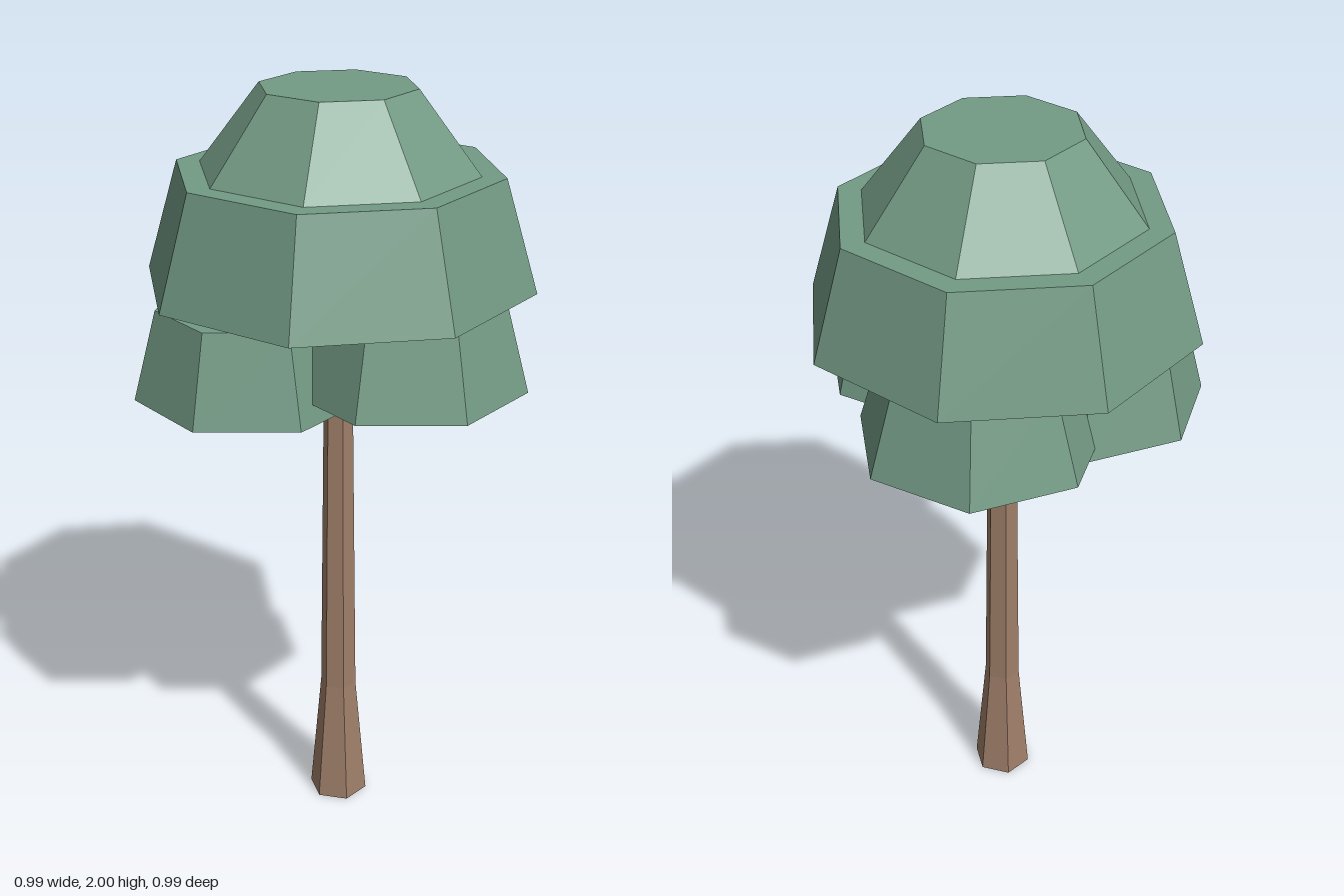
import * as THREE from 'three';

export function createModel() {
  const tree = new THREE.Group();
  tree.name = 'tree';
  const leaf = new THREE.MeshStandardMaterial({ color: 0x739a84, flatShading: true });
  leaf.name = 'leaf green';
  const bark = new THREE.MeshStandardMaterial({ color: 0x9f7f69, flatShading: true });
  bark.name = 'bark brown';

  // Tapered prism with one corner pointing along +x
  function prism(name, material, sides, rBottom, rTop, y0, y1, x = 0, z = 0, open = false) {
    const geometry = new THREE.CylinderGeometry(rTop, rBottom, y1 - y0, sides, 1, open);
    geometry.rotateY(Math.PI / 2);
    const mesh = new THREE.Mesh(geometry, material);
    mesh.name = name;
    mesh.position.set(x, (y0 + y1) / 2, z);
    tree.add(mesh);
  }

  // Trunk: flared foot and slender stem as one profile
  const profile = [[0, 0], [0.08, 0], [0.049, 0.35], [0.038, 1.25], [0, 1.25]]
    .map(([r, y]) => new THREE.Vector2(r, y));
  const trunk = new THREE.Mesh(new THREE.LatheGeometry(profile, 6).rotateY(Math.PI / 2), bark);
  trunk.name = 'trunk';
  tree.add(trunk);

  // Short branches under the leaf clumps
  for (const [x, z] of [[-0.155, 0.085], [0.152, 0.085], [0, -0.162]]) {
    const branch = new THREE.Mesh(new THREE.BoxGeometry(0.19, 0.042, 0.045), bark);
    branch.name = 'branch';
    branch.position.set(x, 1.24, z);
    tree.add(branch);
  }

  // Three lower leaf clumps
  prism('rightLeafClump', leaf, 7, 0.297, 0.236, 1.25, 1.48, -0.197, 0.11);
  prism('leftLeafClump', leaf, 7, 0.3, 0.238, 1.3, 1.53, 0.195, 0.095);
  prism('backLeafClump', leaf, 7, 0.311, 0.237, 1.28, 1.515, 0, -0.185);

  // Stepped crown
  prism('mainCrown', leaf, 8, 0.495, 0.41, 1.52, 1.8);
  prism('topCrown', leaf, 8, 0.35, 0.195, 1.8, 2, 0, 0);

  return tree;
}
